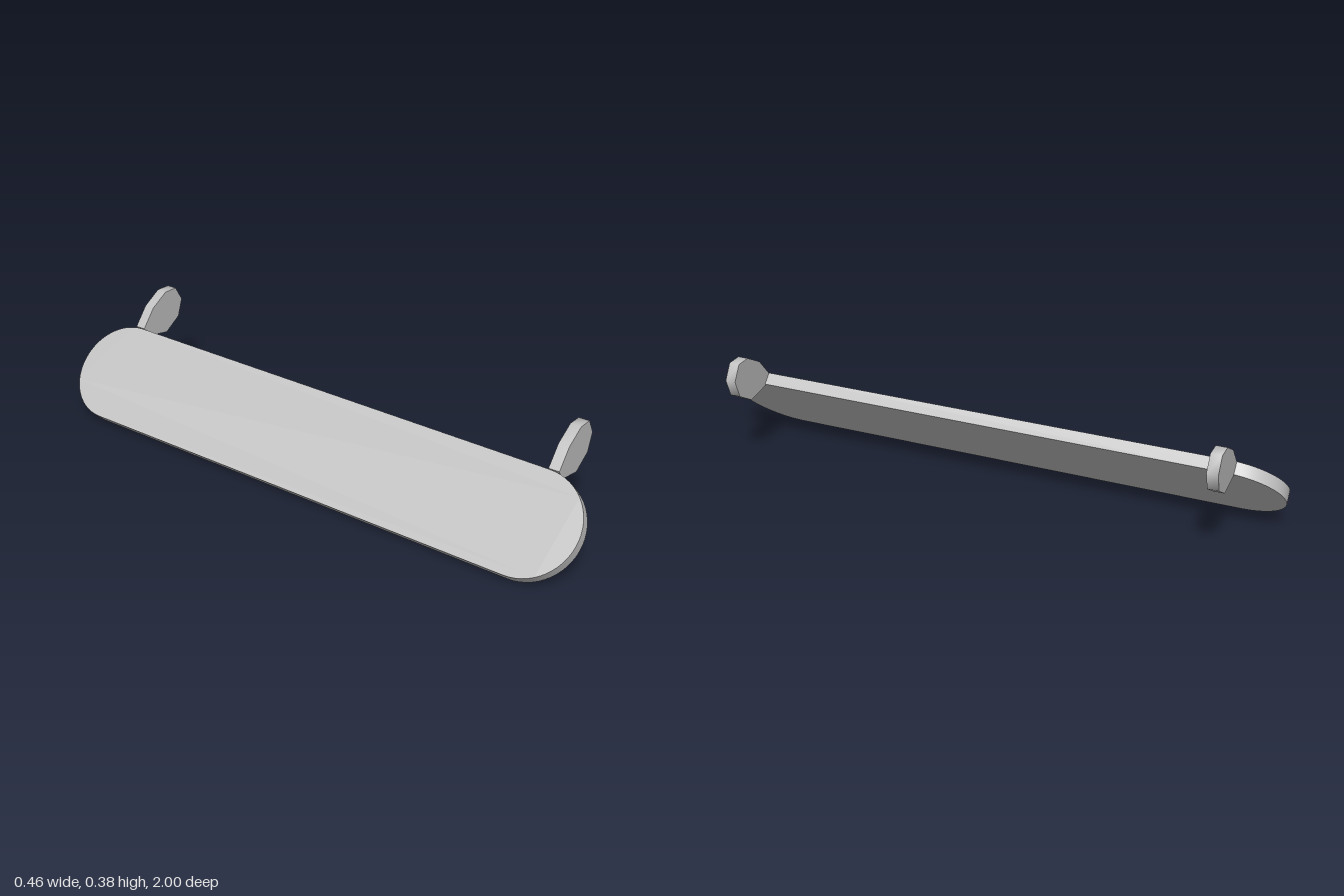
import * as THREE from 'three';
import { toCreasedNormals } from 'three/addons/utils/BufferGeometryUtils.js';

export function createModel() {
  const group = new THREE.Group();
  const grey = new THREE.MeshStandardMaterial({ color: 0xc0c0c0 });
  grey.name = 'grey';

  // Extrudes a shape about its middle and smooths its rim
  const plate = (shape, depth) => {
    const geometry = new THREE.ExtrudeGeometry(shape, { depth, bevelEnabled: false, curveSegments: 14 });
    geometry.translate(0, 0, -depth / 2);
    return toCreasedNormals(geometry, 1.1);
  };
  const add = (name, geometry, x, y, z) => {
    const mesh = new THREE.Mesh(geometry, grey);
    mesh.name = name;
    mesh.position.set(x, y, z);
    group.add(mesh);
  };

  // Long tilted board with round ends
  const r = 0.175, straight = 1 - r;
  const outline = new THREE.Shape();
  outline.absarc(0, straight, r, 0, Math.PI);
  outline.absarc(0, -straight, r, Math.PI, Math.PI * 2);
  outline.closePath();
  const board = plate(outline, 0.043);
  board.rotateX(-Math.PI / 2);
  board.rotateZ(0.777);
  add('board', board, -0.09, 0.138, 0);

  // Leaf-shaped tab near each end of the upper edge
  const leaf = new THREE.Shape([
    [0.022, 0.277], [0.045, 0.24], [0.139, 0.221], [0.206, 0.26],
    [0.228, 0.321], [0.198, 0.374], [0.144, 0.377], [0.075, 0.339],
  ].map(([x, y]) => new THREE.Vector2(x, y)));
  for (const side of [1, -1]) {
    add(side > 0 ? 'frontTab' : 'backTab', plate(leaf, 0.037), 0, 0, side * 0.838);
  }
  return group;
}
